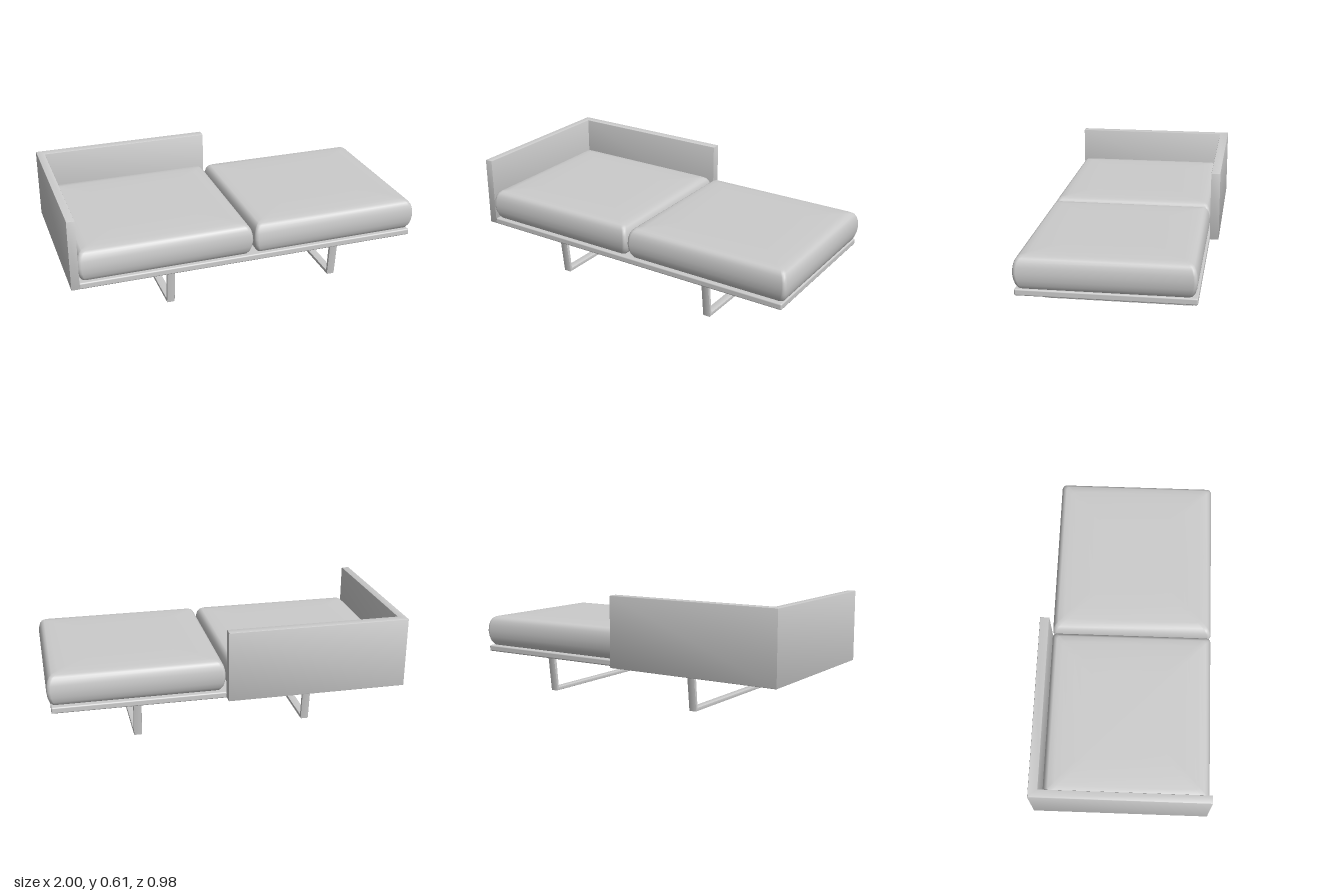
import * as THREE from 'three';
import { RoundedBoxGeometry } from 'three/addons/geometries/RoundedBoxGeometry.js';
import { toCreasedNormals } from 'three/addons/utils/BufferGeometryUtils.js';

const material = new THREE.MeshStandardMaterial({ color: 0xcccccc });

function add(parent, name, geometry) {
  const mesh = new THREE.Mesh(geometry, material);
  mesh.name = name;
  parent.add(mesh);
  return mesh;
}

// Extrudes a polygon to an exact depth, with slightly softened edges
function softExtrude(points, depth, bevel) {
  const shape = new THREE.Shape(points.map(([x, y]) => new THREE.Vector2(x, y)));
  const geometry = new THREE.ExtrudeGeometry(shape, {
    depth: depth - 2 * bevel,
    bevelThickness: bevel,
    bevelSize: bevel,
    bevelOffset: -bevel,
    bevelSegments: 2,
  });
  geometry.translate(0, 0, bevel);
  return toCreasedNormals(geometry, 0.6);
}

// Stacks rounded rectangles; each profile entry is [inset, height]
function cushionGeometry(width, depth, profile) {
  const radius = 0.02, steps = 4, ring = 4 * (steps + 1);
  const positions = [], index = [];
  for (const [inset, y] of profile) {
    for (let corner = 0; corner < 4; corner++) {
      const sx = corner === 0 || corner === 3 ? 1 : -1;
      const sz = corner < 2 ? 1 : -1;
      for (let i = 0; i <= steps; i++) {
        const a = (corner + i / steps) * Math.PI / 2;
        positions.push(
          sx * (width / 2 - inset - radius) + radius * Math.cos(a),
          y,
          sz * (depth / 2 - inset - radius) + radius * Math.sin(a));
      }
    }
  }
  for (let k = 0; k < profile.length - 1; k++) {
    for (let i = 0; i < ring; i++) {
      const a = k * ring + i, b = k * ring + (i + 1) % ring;
      index.push(a, a + ring, b, b, a + ring, b + ring);
    }
  }
  // Close the underside and the top
  const bottom = positions.length / 3, top = bottom + 1;
  const last = (profile.length - 1) * ring;
  positions.push(0, profile[0][1], 0, 0, profile[profile.length - 1][1], 0);
  for (let i = 0; i < ring; i++) {
    const j = (i + 1) % ring;
    index.push(bottom, i, j, top, last + j, last + i);
  }
  const geometry = new THREE.BufferGeometry();
  geometry.setAttribute('position', new THREE.Float32BufferAttribute(positions, 3));
  geometry.setIndex(index);
  geometry.computeVertexNormals();
  return geometry;
}

export function createModel() {
  const model = new THREE.Group();
  model.name = 'daybed';

  // Platform under the cushions
  add(model, 'platform', new RoundedBoxGeometry(1.935, 0.036, 0.927, 3, 0.008))
    .position.set(0.0105, 0.219, 0.0215);

  // L-shaped arm and back panel, drawn in plan
  const panel = softExtrude([
    [-1, -0.485], [-0.955, -0.485], [-0.955, 0.44],
    [0.02, 0.44], [0.02, 0.492], [-1, 0.492],
  ], 0.403, 0.004);
  panel.rotateX(-Math.PI / 2);
  add(model, 'armAndBackPanel', panel).position.y = 0.202;

  // Two bulging seat cushions
  const profile = [
    [0.06, 0.234], [0.035, 0.236], [0.024, 0.242], [0.012, 0.262],
    [0.004, 0.29], [0, 0.325], [0.003, 0.36], [0.01, 0.386],
    [0.02, 0.402], [0.034, 0.411], [0.07, 0.414], [0.14, 0.417], [0.25, 0.418],
  ];
  const cushion = cushionGeometry(0.975, 0.93, profile);
  for (const [name, x] of [['rightCushion', -0.473], ['leftCushion', 0.509]]) {
    add(model, name, cushion).position.set(x, 0, 0.025);
  }

  // Sled legs: splayed uprights joined by a floor bar
  const outline = [
    [0.462, 0.204], [0.437, 0], [-0.388, 0], [-0.413, 0.204],
    [-0.391, 0.204], [-0.372, 0.02], [0.421, 0.02], [0.44, 0.204],
  ].map(([z, y]) => [-z, y]);
  const leg = softExtrude(outline, 0.045, 0.004);
  leg.translate(0, 0, -0.0225);
  leg.rotateY(Math.PI / 2);
  for (const [name, x] of [['rightLegFrame', -0.452], ['leftLegFrame', 0.512]]) {
    add(model, name, leg).position.x = x;
  }

  return model;
}
